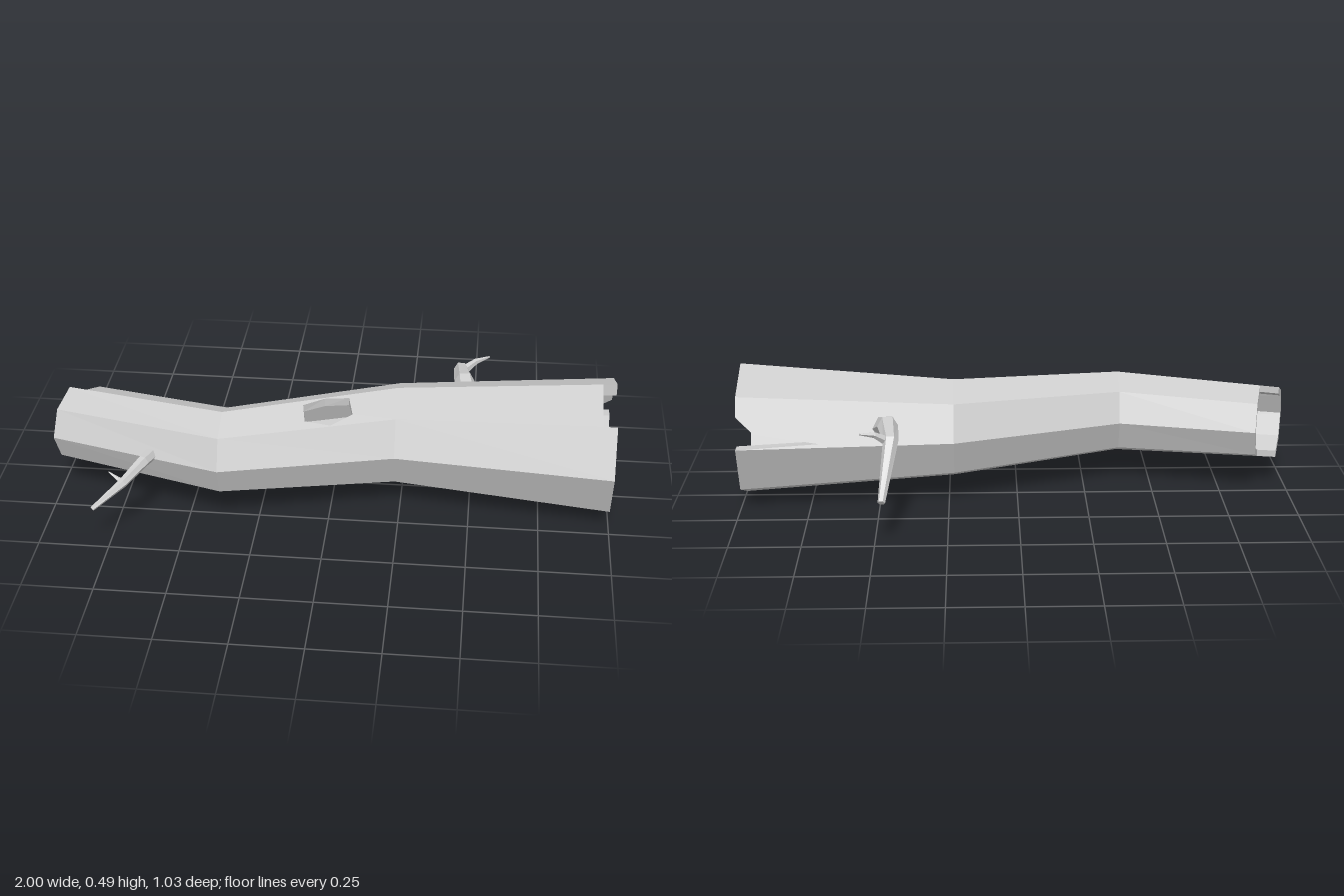
import * as THREE from 'three';

const material = new THREE.MeshStandardMaterial({ color: 0xcccccc, flatShading: true });
const SIDES = 8, AXIS_Y = 0.248, INNER = 0.82;

// Rings of the trunk: x, z, radius and how far the ring leans in x
const rings = [
  { x: -0.93, z: 0.065, r: 0.137, lean: 0.26 },
  { x: -0.38, z: 0.21, r: 0.154, lean: 0 },
  { x: 0.23, z: 0.03, r: 0.184, lean: 0 },
  { x: 1, z: 0.04, r: 0.247, lean: 0 },
];

function meshFrom(triangles, name) {
  const geometry = new THREE.BufferGeometry().setFromPoints(triangles);
  geometry.computeVertexNormals();
  const mesh = new THREE.Mesh(geometry, material);
  mesh.name = name;
  return mesh;
}

function quad(out, a, b, c, d) {
  out.push(a, b, c, a, c, d);
}

// Corner k of a ring, counted from the top towards the front
function corner(ring, k, scale) {
  const a = (k / SIDES) * Math.PI * 2, r = ring.r * scale;
  return new THREE.Vector3(
    ring.x - ring.lean * r * Math.sin(a),
    AXIS_Y + r * Math.cos(a),
    ring.z + r * Math.sin(a));
}

// Point on the trunk: u along a segment, v around it in sides
function trunkPoint(segment, u, v, scale) {
  const k = Math.floor(v), f = v - k;
  const edge = (ring) => corner(ring, k, scale).lerp(corner(ring, k + 1, scale), f);
  const a = edge(rings[segment]), b = edge(rings[segment + 1]);
  return a.lerp(b, u);
}

// Strip joining outer and inner skin; the open side lies right of the path
function addRim(out, segment, path) {
  for (let i = 0; i + 1 < path.length; i++) {
    const [a, b] = [path[i], path[i + 1]];
    if (a[0] === b[0] && a[1] === b[1]) continue;
    quad(out,
      trunkPoint(segment, a[0], a[1], 1), trunkPoint(segment, b[0], b[1], 1),
      trunkPoint(segment, b[0], b[1], INNER), trunkPoint(segment, a[0], a[1], INNER));
  }
}

function makeTrunk() {
  const outer = [], inner = [], rims = [];

  // Broken left end: the front half sticks out further
  const leftEnd = (s) => (s < 4 ? -0.06 : 0.06);

  // Broken right end: a short panel on top and a long crack at the back
  const rightEnd = (s) => {
    if (s === 0) return [[0.935, 0], [0.935, 1]];
    if (s === 6) return [[1, 0], [0.62, 0.08], [0.92, 0.3], [1, 0.62], [1, 1]];
    return [[1, 0], [1, 1]];
  };

  const knotHole = [[0.46, 0.15], [0.58, 0.03], [0.72, 0.12], [0.75, 0.68], [0.63, 0.97], [0.48, 0.72]];
  const toPoints = (list) => list.map(([u, v]) => new THREE.Vector2(u, v));

  // Flat panels, each with an outer and an inner skin
  for (let segment = 0; segment < 3; segment++) {
    for (let s = 0; s < SIDES; s++) {
      const start = segment === 0 ? leftEnd(s) : 0;
      const end = segment === 2 ? rightEnd(s) : [[1, 0], [1, 1]];
      const shape = new THREE.Shape(toPoints([[start, 0], ...end, [start, 1]]));
      if (segment === 1 && s === 0) shape.holes.push(new THREE.Path(toPoints(knotHole)));
      const flat = new THREE.ShapeGeometry(shape);
      const pos = flat.attributes.position, index = flat.index.array;
      const at = (i, scale) => {
        // Keep points on the far edge inside this side
        const v = Math.min(pos.getY(i), 0.99999);
        return trunkPoint(segment, pos.getX(i), s + v, scale);
      };
      for (let i = 0; i < index.length; i += 3) {
        const [a, b, c] = [index[i], index[i + 1], index[i + 2]];
        outer.push(at(a, 1), at(c, 1), at(b, 1));
        inner.push(at(a, INNER), at(b, INNER), at(c, INNER));
      }
    }
  }

  // Wood thickness at both ends and around the knot hole
  const leftPath = [], rightPath = [];
  for (let s = 0; s < SIDES; s++) {
    leftPath.push([leftEnd(s), s], [leftEnd(s), s + 1]);
    rightPath.push(...rightEnd(s).map(([u, v]) => [u, s + v]));
  }
  leftPath.push([leftEnd(0), SIDES]);
  rightPath.push([rightEnd(0)[0][0], SIDES]);
  addRim(rims, 0, leftPath.reverse());
  addRim(rims, 2, rightPath);
  addRim(rims, 1, [...knotHole, knotHole[0]].reverse());

  const trunk = new THREE.Group();
  trunk.name = 'hollowTrunk';
  trunk.add(meshFrom(outer, 'bark'), meshFrom(inner, 'hollow'), meshFrom(rims, 'brokenEdges'));
  return trunk;
}

// Tapered limb through points [x, y, z, radius]
function makeLimb(name, points, sides = 6) {
  const centers = points.map(([x, y, z]) => new THREE.Vector3(x, y, z));
  const sections = centers.map((center, i) => {
    const before = centers[Math.max(i - 1, 0)], after = centers[Math.min(i + 1, centers.length - 1)];
    const along = after.clone().sub(before).normalize();
    const side = new THREE.Vector3(0, 1, 0).cross(along).normalize();
    const up = along.clone().cross(side);
    return Array.from({ length: sides }, (_, k) => {
      const a = (k / sides) * Math.PI * 2;
      return center.clone()
        .addScaledVector(side, Math.cos(a) * points[i][3])
        .addScaledVector(up, Math.sin(a) * points[i][3]);
    });
  });
  const out = [], last = sections.length - 1;
  for (let k = 0; k < sides; k++) {
    const n = (k + 1) % sides;
    for (let i = 0; i < last; i++) {
      quad(out, sections[i][k], sections[i][n], sections[i + 1][n], sections[i + 1][k]);
    }
    out.push(sections[last][k], sections[last][n], centers[last]);
  }
  return meshFrom(out, name);
}

export function createModel() {
  const model = new THREE.Group();
  model.name = 'hollowLog';
  model.add(makeTrunk());

  // Large bent branch on the back
  const backBranch = new THREE.Group();
  backBranch.name = 'backBranch';
  backBranch.add(
    makeLimb('backLimb', [[0.475, 0.3, -0.13, 0.048], [0.46, 0.338, -0.215, 0.037],
      [0.445, 0.322, -0.33, 0.027], [0.472, 0.162, -0.507, 0.013]]),
    makeLimb('backTwig', [[0.455, 0.32, -0.325, 0.018], [0.5, 0.35, -0.345, 0.011],
      [0.55, 0.36, -0.367, 0.003]], 5));

  // Small branch on the front
  const frontBranch = new THREE.Group();
  frontBranch.name = 'frontBranch';
  frontBranch.add(
    makeLimb('frontLimb', [[-0.62, 0.255, 0.26, 0.025], [-0.645, 0.257, 0.33, 0.022],
      [-0.7, 0.225, 0.428, 0.017], [-0.796, 0.162, 0.507, 0.008]]),
    makeLimb('frontTwig', [[-0.69, 0.225, 0.42, 0.011], [-0.72, 0.228, 0.41, 0.008],
      [-0.755, 0.248, 0.398, 0.002]], 5));

  model.add(backBranch, frontBranch);
  return model;
}
